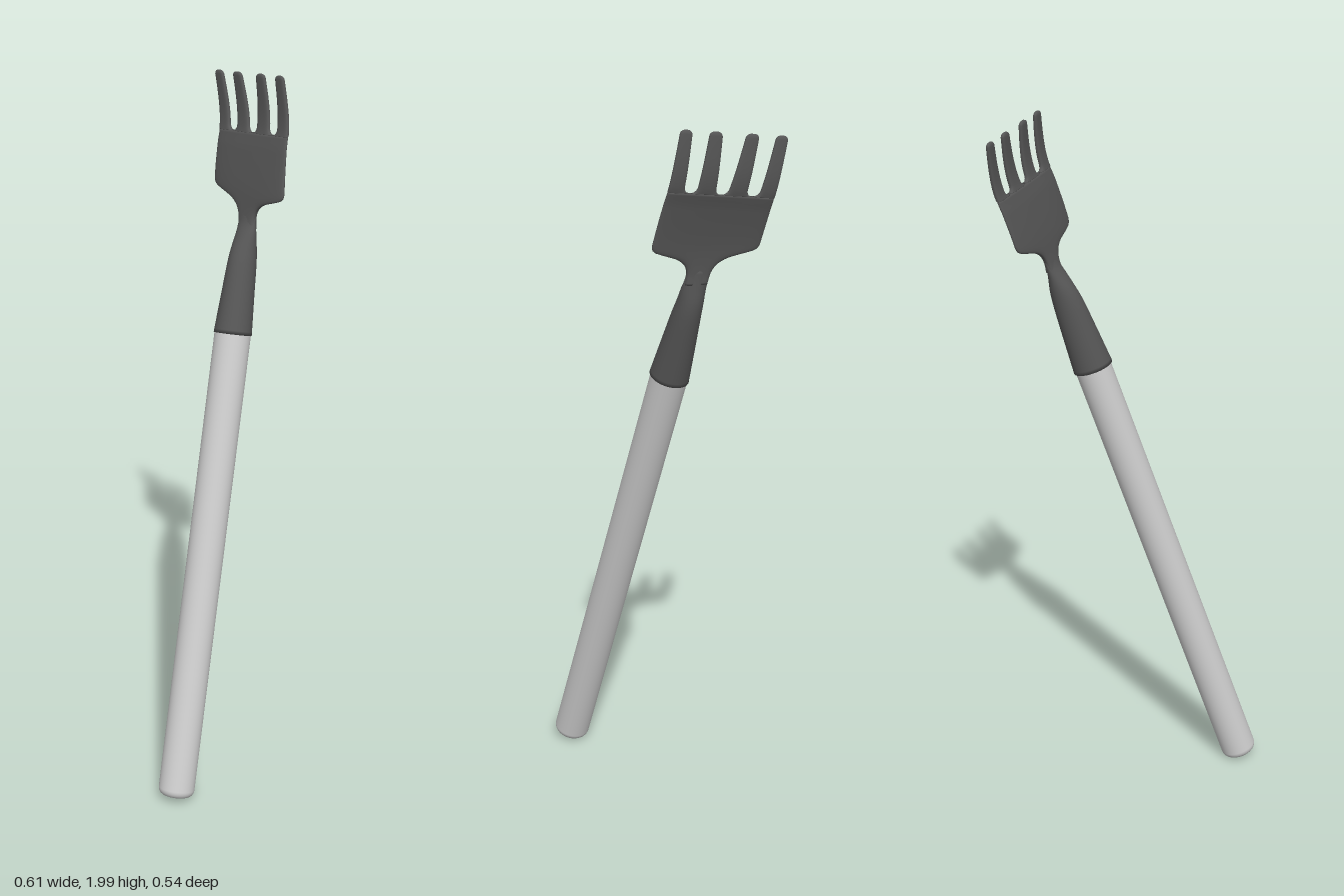
import * as THREE from 'three';

const N = 36;

// Closed tube through rings of points; rings run bottom to top.
function loft(rings) {
  const pos = [], idx = [], n = rings[0].length;
  rings.forEach(r => r.forEach(p => pos.push(p.x, p.y, p.z)));
  for (let i = 0; i < rings.length - 1; i++)
    for (let j = 0; j < n; j++) {
      const a = i * n + j, b = i * n + (j + 1) % n;
      idx.push(a, b, b + n, a, b + n, a + n);
    }
  [0, rings.length - 1].forEach((r, k) => {
    const c = pos.length / 3, mid = new THREE.Vector3();
    rings[r].forEach(p => mid.addScaledVector(p, 1 / n));
    pos.push(mid.x, mid.y, mid.z);
    for (let j = 0; j < n; j++) {
      const a = r * n + j, b = r * n + (j + 1) % n;
      if (k) idx.push(a, b, c); else idx.push(b, a, c);
    }
  });
  const g = new THREE.BufferGeometry();
  g.setAttribute('position', new THREE.Float32BufferAttribute(pos, 3));
  g.setIndex(idx);
  g.computeVertexNormals();
  return g;
}

// Rounded section: calls place(across, through) with values from -1 to 1.
function ring(power, place) {
  return Array.from({ length: N }, (_, j) => {
    const a = (j / N) * Math.PI * 2, c = Math.cos(a), s = Math.sin(a);
    return place(Math.sign(c) * Math.abs(c) ** power, Math.sign(s) * Math.abs(s) ** power);
  });
}

// Smooth one-dimensional curve through [t, value] pairs.
function curve(pairs) {
  return t => {
    let i = 0;
    while (i < pairs.length - 2 && t > pairs[i + 1][0]) i++;
    const at = k => pairs[Math.min(Math.max(k, 0), pairs.length - 1)];
    const [t0, v0] = at(i), [t1, v1] = at(i + 1), h = t1 - t0;
    const slope = k => (at(k + 1)[1] - at(k - 1)[1]) / (at(k + 1)[0] - at(k - 1)[0]);
    const s = THREE.MathUtils.clamp((t - t0) / h, 0, 1), m0 = slope(i) * h, m1 = slope(i + 1) * h;
    return v0 * (2 * s ** 3 - 3 * s * s + 1) + m0 * (s ** 3 - 2 * s * s + s)
      + v1 * (3 * s * s - 2 * s ** 3) + m1 * (s ** 3 - s * s);
  };
}

// Blade surface: u across, t along the blade, w through its thickness.
const sweep = curve([[-0.03, 0.226], [0, 0.231], [0.08, 0.245], [0.18, 0.272], [0.24, 0.292], [0.3, 0.299], [0.4, 0.297]]);
const thick = curve([[-0.03, 0.015], [0, 0.011], [0.06, 0.009], [0.4, 0.006]]);
function bladePoint(u, t, w) {
  const skew = 0.11 * THREE.MathUtils.clamp(t / 0.2, 0, 1);
  return new THREE.Vector3(
    sweep(t) + 0.3 * u * u * (1 - THREE.MathUtils.clamp(t / 0.3, 0, 1)) + w * thick(t),
    1.6 + t + skew * u,
    -0.048 + u - 0.2 * t);
}
function bladeRing(t, u0, u1, scale = 1) {
  return ring(0.6, (a, b) => bladePoint((u0 + u1) / 2 + a * (u1 - u0) / 2 * scale, t, b * scale));
}

const ROOT = 0.222, TIP = 0.385, GAP = 0.018;

export function createModel() {
  const model = new THREE.Group();
  const wood = new THREE.MeshStandardMaterial({ color: 0xcccccc });
  const metal = new THREE.MeshStandardMaterial({ color: 0x555555 });
  const add = (name, geometry, material) => {
    const mesh = new THREE.Mesh(geometry, material);
    mesh.name = name;
    model.add(mesh);
    return mesh;
  };

  // Handle: round bar with a rounded butt
  const foot = new THREE.Vector3(-0.255, 0.016, 0.22), top = new THREE.Vector3(0.133, 1.285, 0.006);
  const axis = top.clone().sub(foot), length = axis.length(), R = 0.052, F = 0.022;
  const profile = [new THREE.Vector2(0, 0)];
  for (let i = 0; i <= 8; i++) {
    const a = (i / 8) * Math.PI / 2;
    profile.push(new THREE.Vector2(R - F + F * Math.sin(a), F - F * Math.cos(a)));
  }
  profile.push(new THREE.Vector2(R, length));
  const handle = add('handle', new THREE.LatheGeometry(profile, 40), wood);
  handle.position.copy(foot);
  handle.quaternion.setFromUnitVectors(new THREE.Vector3(0, 1, 0), axis.normalize());

  // Socket: tapers and flattens from the handle into the neck
  // [y, x, z, half depth in x, half width in z, tilt]
  const stations = [
    [1.285, 0.133, 0.006, 0.054, 0.054, 1], [1.40, 0.169, -0.013, 0.047, 0.045, 0.9],
    [1.48, 0.194, -0.026, 0.042, 0.039, 0.6], [1.52, 0.207, -0.033, 0.035, 0.036, 0.4],
    [1.56, 0.22, -0.039, 0.022, 0.034, 0.2], [1.585, 0.228, -0.045, 0.014, 0.033, 0], [1.61, 0.233, -0.05, 0.01, 0.034, 0]];
  const col = k => curve(stations.map(s => [s[0], s[k]]));
  const [cx, cz, rx, rz, tilt] = [1, 2, 3, 4, 5].map(col);
  const socket = [];
  for (let i = 0; i <= 32; i++) {
    const y = 1.285 + 0.325 * i / 32;
    socket.push(ring(1, (a, b) => {
      const dx = b * rx(y), dz = a * rz(y);
      return new THREE.Vector3(cx(y) + dx, y + tilt(y) * (0.17 * dz - 0.3 * dx), cz(y) + dz);
    }));
  }
  add('socket', loft(socket), metal);

  // Blade: neck flaring into square shoulders
  const half = curve([[-0.03, 0.031], [0, 0.033], [0.025, 0.045], [0.042, 0.07], [0.053, 0.105],
    [0.061, 0.132], [0.072, 0.145], [0.1, 0.147], [ROOT, 0.144]]);
  const blade = [];
  for (let i = 0; i <= 44; i++) {
    const t = -0.03 + (ROOT + 0.03) * i / 44;
    blade.push(bladeRing(t, -half(t), half(t)));
  }
  add('blade', loft(blade), metal);

  // Four tines with rounded gaps between their roots
  const gapHalf = (t, end) => {
    const d = t - ROOT;
    return d < GAP ? Math.sqrt(Math.max(0, GAP * GAP - (GAP - d) ** 2))
      : THREE.MathUtils.lerp(GAP, end, (d - GAP) / (TIP - ROOT - GAP));
  };
  const steps = [0, 0.0008, 0.003, 0.007, 0.012, 0.018];
  for (let i = 1; i <= 12; i++) steps.push(GAP + (TIP - ROOT - GAP - 0.01) * i / 12);
  for (const outer of [false, true])
    for (const side of [1, -1]) {
      const rings = steps.map(d => {
        const t = ROOT + d, f = d / (TIP - ROOT);
        const middle = 0.084 + 0.005 * f;
        const u0 = outer ? middle + gapHalf(t, 0.023) : gapHalf(t, 0.032);
        const u1 = outer ? 0.144 : middle - gapHalf(t, 0.023);
        return side > 0 ? bladeRing(t, u0, u1) : bladeRing(t, -u1, -u0);
      });
      // Rounded tip
      const [e0, e1] = outer ? [0.112, 0.144] : [0.032, 0.066];
      for (const [d, s] of [[0.006, 0.92], [0.002, 0.7], [0, 0.4]])
        rings.push(side > 0 ? bladeRing(TIP - d, e0, e1, s) : bladeRing(TIP - d, -e1, -e0, s));
      add((outer ? 'outer' : 'inner') + 'Tine' + (side > 0 ? 'Front' : 'Back'), loft(rings), metal);
    }
  return model;
}
